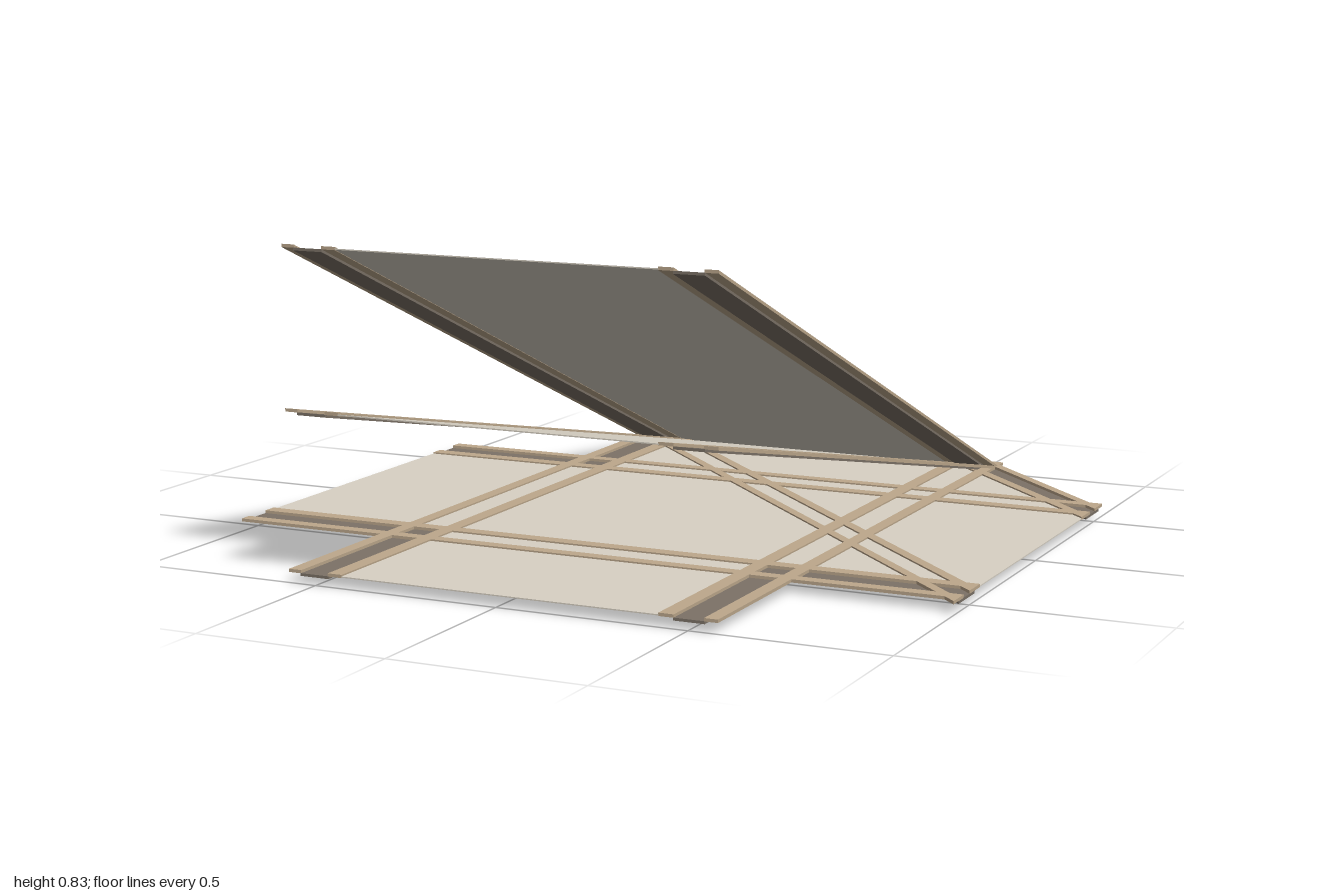
import * as THREE from 'three';

const mat = (name, color) => {
  const m = new THREE.MeshStandardMaterial({ color });
  m.name = name;
  return m;
};

export function createModel() {
  const model = new THREE.Group();
  model.name = 'trackSet';
  const deckMat = mat('pale stone', 0xd8d1c4);
  const rimMat = mat('tan rim', 0xbda88c);
  const gutterMat = mat('dark gutter', 0x7c7267);

  // cross-section bands: name, material, across range, height range
  const bands = [['deck', deckMat, -0.427, 0.427, 0.0075, 0.0105]];
  for (const s of [-1, 1]) {
    const band = (name, m, a, b, y0, y1) =>
      bands.push([name, m, Math.min(s * a, s * b), Math.max(s * a, s * b), y0, y1]);
    band('innerRim', rimMat, 0.425, 0.464, 0.0065, 0.0145);
    band('gutter', gutterMat, 0.462, 0.542, 0, 0.007);
    band('outerRim', rimMat, 0.54, 0.575, 0.0065, 0.0145);
  }

  // sweeps the cross-section from along = -1 to 1, placed by a rule
  function addTrack(name, place) {
    const track = new THREE.Group();
    track.name = name;
    for (const [part, material, a0, a1, y0, y1] of bands) {
      const geo = new THREE.BoxGeometry(a1 - a0, y1 - y0, 2);
      geo.translate((a0 + a1) / 2, (y0 + y1) / 2, 0);
      const p = geo.attributes.position;
      for (let i = 0; i < p.count; i++) {
        p.setXYZ(i, ...place(p.getX(i), p.getY(i), p.getZ(i)));
      }
      geo.computeVertexNormals();
      const mesh = new THREE.Mesh(geo, material);
      mesh.name = part;
      track.add(mesh);
    }
    model.add(track);
  }

  const lerp = THREE.MathUtils.lerp;
  const flat = 0.02;
  const ramp = (base, rise) => (a, h, l) => [a, base + h + rise * (l + 1) / 2, l];

  // level straights crossing at right angles
  addTrack('lengthwiseTrack', ramp(flat, 0));
  addTrack('crosswiseTrack', (a, h, l) => [l, flat + h, -a]);

  // diagonal track, trimmed to the square tile at both ends
  addTrack('diagonalTrack', (a, h, l) => {
    const c = -0.965 - a;
    const t = (l + 1) / 2;
    return [lerp(-1 - c, 1, t), flat + h, lerp(-1, 1 + c, t)];
  });

  // shallow and steep ramps rising to the front
  addTrack('shallowRamp', ramp(0.008, 0.41));
  addTrack('steepRamp', ramp(0, 0.818));

  return model;
}
